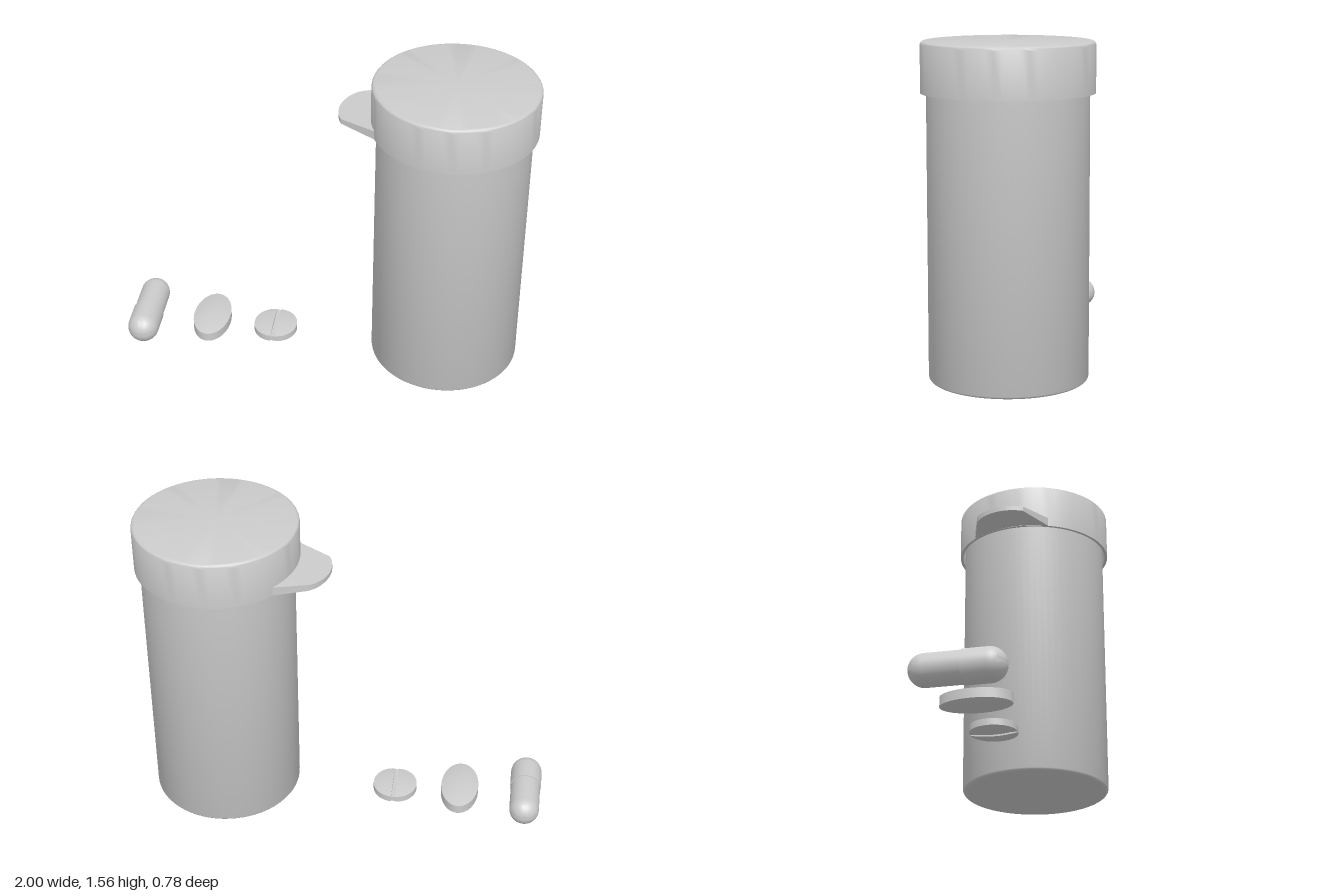
import * as THREE from 'three';
import { toCreasedNormals } from 'three/addons/utils/BufferGeometryUtils.js';

const material = new THREE.MeshStandardMaterial({ color: 0xcccccc });
const BOTTLE_X = 0.605;

function add(parent, name, geometry, x = 0, y = 0, z = 0) {
  const mesh = new THREE.Mesh(toCreasedNormals(geometry, 0.6), material);
  mesh.name = name;
  mesh.position.set(x, y, z);
  parent.add(mesh);
  return mesh;
}

const lathe = (points, segments = 64) =>
  new THREE.LatheGeometry(points.map(([r, y]) => new THREE.Vector2(r, y)), segments);

// Quarter-circle arc of profile points around (cx, cy)
function arc(cx, cy, radius, start, steps = 4) {
  return Array.from({ length: steps + 1 }, (_, i) => {
    const a = start + (i / steps) * Math.PI / 2;
    return [Math.max(0, cx + radius * Math.cos(a)), cy + radius * Math.sin(a)];
  });
}

// Flat band with a shallow dome above and below, centred on y = 0
function tabletGeometry(radius, band, dome) {
  const steps = 6;
  const upper = Array.from({ length: steps + 1 }, (_, i) => {
    const r = 1 - i / steps;
    return [radius * r, band + dome * (1 - r * r)];
  });
  const lower = upper.map(([r, y]) => [r, -y]).reverse();
  return lathe([...lower, ...upper], 48);
}

// Pull tab: tapers towards its rounded tip
function tabGeometry() {
  const shape = new THREE.Shape();
  shape.moveTo(0.313, -0.25);
  shape.lineTo(0.15, -0.2);
  shape.bezierCurveTo(0.09, -0.18, 0.022, -0.06, 0.078, 0.056);
  shape.lineTo(0.243, 0.152);
  shape.absarc(BOTTLE_X, 0, 0.386, 2.742, 3.845, false);
  const geo = new THREE.ExtrudeGeometry(shape, { depth: 1, bevelEnabled: false, curveSegments: 16 });
  geo.rotateX(Math.PI / 2);
  const p = geo.attributes.position;
  for (let i = 0; i < p.count; i++) {
    const t = Math.min(1, (p.getX(i) - 0.05) / 0.19);
    const top = p.getY(i) > -0.5;
    p.setY(i, top ? 1.364 + 0.01 * t : 1.343 - 0.013 * t);
  }
  return geo;
}

// Half of a scored tablet: everything behind x = 0 collapses into the groove wall
function halfTabletGeometry(radius, band, dome, gap) {
  const geo = tabletGeometry(radius, band, dome);
  const p = geo.attributes.position;
  for (let i = 0; i < p.count; i++) {
    p.setX(i, gap + Math.max(0, p.getX(i)) * (radius - gap) / radius);
  }
  return geo;
}

export function createModel() {
  const model = new THREE.Group();
  model.name = 'pillBottleAndPills';

  // Bottle with a small rounded bottom edge
  const bottle = new THREE.Group();
  bottle.name = 'bottle';
  model.add(bottle);
  add(bottle, 'bottleBody', lathe([
    [0, 0.02], ...arc(0.345, 0.04, 0.02, -Math.PI / 2), [0.365, 1.51], [0, 1.51],
  ]), BOTTLE_X);

  // Hollow lid with a rounded top edge
  add(bottle, 'lid', lathe([
    [0, 1.52], [0.377, 1.52], [0.377, 1.33], [0.391, 1.33],
    ...arc(0.373, 1.542, 0.018, 0), [0, 1.56],
  ]), BOTTLE_X);
  add(bottle, 'lidTab', tabGeometry());

  // Capsule: the front shell overlaps the slightly slimmer rear one
  const capsule = new THREE.Group();
  capsule.name = 'capsule';
  capsule.position.set(-0.922, 0.078, 0);
  model.add(capsule);
  const front = lathe([[0, 0.02], [0.078, 0.02], ...arc(0, 0.134, 0.078, 0, 12)], 40);
  const rear = lathe([...arc(0, -0.147, 0.074, -Math.PI / 2, 12), [0.074, 0.03]], 40);
  add(capsule, 'capsuleFrontShell', front.rotateX(Math.PI / 2));
  add(capsule, 'capsuleRearShell', rear.rotateX(Math.PI / 2));

  // Oval tablet
  add(model, 'ovalTablet', tabletGeometry(1, 0.023, 0.018).scale(0.094, 1, 0.165), -0.59, 0.059, -0.008);

  // Round tablet scored on both faces
  const round = new THREE.Group();
  round.name = 'roundTablet';
  round.position.set(-0.26, 0.043, -0.008);
  model.add(round);
  for (const turn of [0, Math.PI]) {
    add(round, 'tabletHalf', halfTabletGeometry(0.11, 0.016, 0.011, 0.01)).rotation.y = turn;
  }
  add(round, 'scoreCore', new THREE.BoxGeometry(0.022, 0.026, 0.218));

  return model;
}
